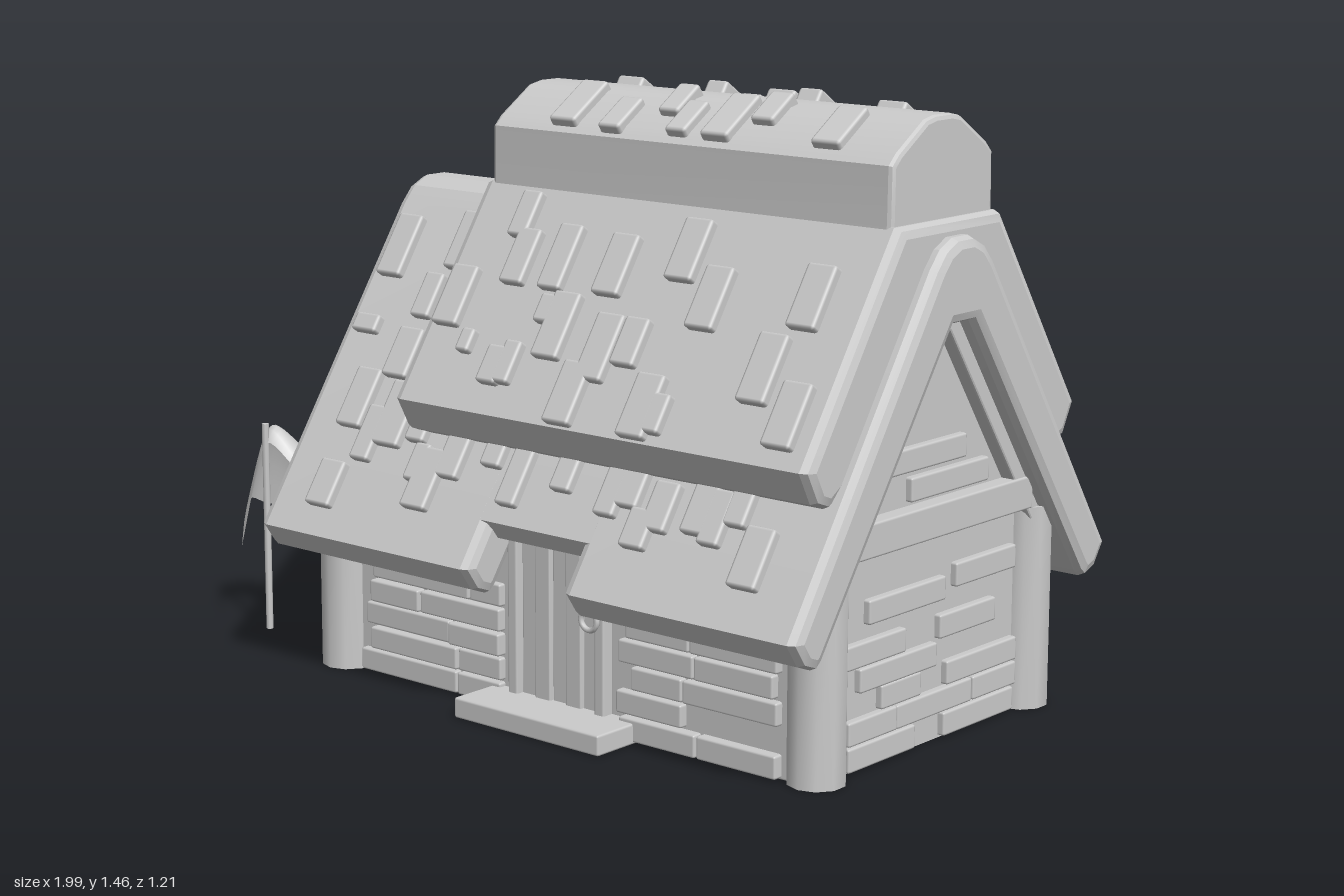
import * as THREE from 'three';
import { toCreasedNormals } from 'three/addons/utils/BufferGeometryUtils.js';
import { RoundedBoxGeometry } from 'three/addons/geometries/RoundedBoxGeometry.js';

const mat = new THREE.MeshStandardMaterial({ color: 0xcccccc });
const clothMat = new THREE.MeshStandardMaterial({ color: 0xcccccc, side: THREE.DoubleSide });

function add(parent, name, geo, x = 0, y = 0, z = 0, material = mat) {
  const m = new THREE.Mesh(geo, material);
  m.name = name;
  m.position.set(x, y, z);
  parent.add(m);
  return m;
}

// Box given by its limits on each axis
function box(parent, name, [x0, x1], [y0, y1], [z0, z1], r = 0.006) {
  const geo = new RoundedBoxGeometry(x1 - x0, y1 - y0, z1 - z0, 1, r);
  return add(parent, name, geo, (x0 + x1) / 2, (y0 + y1) / 2, (z0 + z1) / 2);
}

// Extrude a z-y outline along x with softened edges
function slab(parent, name, pts, x0, x1, bevel = 0.025) {
  const shape = new THREE.Shape(pts.map(([z, y]) => new THREE.Vector2(-z, y)));
  const geo = new THREE.ExtrudeGeometry(shape, {
    depth: x1 - x0 - 2 * bevel, bevelEnabled: bevel > 0, bevelThickness: bevel,
    bevelSize: bevel, bevelOffset: -bevel, bevelSegments: 2,
  });
  geo.translate(0, 0, bevel).rotateY(Math.PI / 2).translate(x0, 0, 0);
  return add(parent, name, toCreasedNormals(geo, 0.38));
}

// Mirror a half outline (front side, bottom to top) into a full outer line
const mirrored = half => [...half, ...half.map(([z, y]) => [-z, y]).reverse()];
const chevron = (outer, inner) => [...mirrored(outer), ...mirrored(inner).reverse()];

let seed = 7;
const rnd = () => (seed = (seed * 16807) % 2147483647) / 2147483647;

// Irregular courses of bricks on a front or back wall
function brickRows(parent, x0, x1, z, rows, height) {
  for (let r = 0; r < rows; r++) {
    let x = x0 + rnd() * 0.05;
    while (x < x1 - 0.06) {
      const w = Math.min(0.14 + rnd() * 0.2, x1 - x);
      if (rnd() > 0.28) {
        const d = 0.016 + rnd() * 0.01;
        box(parent, 'brick', [x, x + w], [r * height + 0.005, (r + 1) * height], [z - d, z + d]);
      }
      x += w + 0.004;
    }
  }
}

export function createModel() {
  const house = new THREE.Group();
  house.name = 'cottage';
  const group = name => {
    const g = new THREE.Group();
    g.name = name;
    house.add(g);
    return g;
  };

  // Lower roof, with the front eave cut short above the door
  const roof = group('roof');
  const outer = [[0.52, 0.298], [0.565, 0.315], [0.603, 0.37], [0.11, 1.11], [0.075, 1.15], [0.03, 1.172]];
  const inner = [[0.5, 0.315], [0.04, 0.98]];
  const full = chevron(outer, inner);
  const cut = [[0.41, 0.43], [0.5, 0.43], [0.533, 0.475], ...full.slice(3, -1), [0.4, 0.46]];
  slab(roof, 'lowerRoofLeft', full, -0.665, 0.04);
  slab(roof, 'lowerRoofRight', full, 0.33, 0.995);
  slab(roof, 'lowerRoofOverDoor', cut, -0.02, 0.39);

  // Upper roof layer and ridge cap
  slab(roof, 'upperRoof', chevron(
    [[0.43, 0.628], [0.475, 0.645], [0.515, 0.72], [0.19, 1.207]],
    [[0.38, 0.66], [0.08, 1.1]]), -0.285, 0.955);
  slab(roof, 'ridgeCap', mirrored([[0.2, 1.1], [0.192, 1.22], [0.19, 1.34], [0.165, 1.365], [0.065, 1.43], [0.03, 1.437]]),
    -0.26, 0.925, 0.012);

  // Small attic window at the left end of the ridge
  const attic = group('atticWindow');
  for (const s of [-1, 1]) {
    box(attic, 'windowSide', [-0.29, -0.25], [1.19, 1.33], [s * 0.12 - 0.015, s * 0.12 + 0.015]);
    box(attic, 'windowRail', [-0.29, -0.25], [1.25 + s * 0.065, 1.275 + s * 0.065], [-0.13, 0.13]);
  }
  box(attic, 'windowSill', [-0.31, -0.25], [1.18, 1.195], [-0.13, 0.13]);

  // Shingles as [x, y, width, height], repeated on both slopes
  const shingles = group('shingles');
  const lower = [
    [-0.58, 1.01, 0.08, 0.14], [-0.37, 1.04, 0.08, 0.13], [-0.58, 0.83, 0.08, 0.04], [-0.42, 0.91, 0.06, 0.1],
    [-0.42, 0.78, 0.08, 0.11], [-0.5, 0.67, 0.08, 0.13], [-0.36, 0.65, 0.09, 0.14], [-0.31, 0.75, 0.06, 0.1],
    [-0.27, 0.64, 0.06, 0.08], [-0.49, 0.48, 0.08, 0.1], [-0.42, 0.6, 0.06, 0.12], [-0.19, 0.53, 0.08, 0.13],
    [-0.13, 0.59, 0.07, 0.1], [-0.23, 0.56, 0.05, 0.08], [0.08, 0.57, 0.06, 0.12], [-0.01, 0.62, 0.06, 0.08],
    [0.22, 0.61, 0.06, 0.1], [0.37, 0.59, 0.06, 0.12], [0.42, 0.6, 0.07, 0.09], [0.48, 0.52, 0.07, 0.08],
    [0.52, 0.57, 0.07, 0.1], [0.63, 0.59, 0.07, 0.12], [0.68, 0.57, 0.06, 0.11], [0.73, 0.6, 0.06, 0.08],
    [0.81, 0.51, 0.08, 0.12],
  ];
  const upper = [
    [-0.21, 0.95, 0.08, 0.13], [-0.1, 1.14, 0.06, 0.1], [-0.06, 1.05, 0.07, 0.12], [0.06, 1.06, 0.07, 0.14],
    [0.08, 0.95, 0.05, 0.06], [-0.12, 0.86, 0.04, 0.05], [-0.01, 0.82, 0.06, 0.08], [0.03, 0.83, 0.05, 0.09],
    [0.13, 0.92, 0.08, 0.14], [0.23, 1.06, 0.08, 0.13], [0.24, 0.79, 0.08, 0.13], [0.28, 0.89, 0.08, 0.14],
    [0.36, 0.91, 0.07, 0.1], [0.42, 1.11, 0.08, 0.13], [0.46, 0.79, 0.08, 0.13], [0.51, 0.78, 0.05, 0.08],
    [0.53, 1.02, 0.08, 0.13], [0.745, 0.9, 0.08, 0.14], [0.8, 1.05, 0.08, 0.13], [0.855, 0.82, 0.08, 0.13],
  ];
  const ridge = [
    [-0.04, 1.395, 0.08, 0.15], [0.11, 1.38, 0.065, 0.11], [0.24, 1.418, 0.06, 0.1], [0.305, 1.385, 0.06, 0.11],
    [0.42, 1.395, 0.08, 0.15], [0.515, 1.418, 0.065, 0.1], [0.73, 1.395, 0.08, 0.13],
  ];
  const slope = Math.atan(1.5);
  for (const s of [-1, 1]) {
    const tile = (name, x, y, z, w, len, angle) => {
      const m = add(shingles, name, new RoundedBoxGeometry(w, 0.046, len, 1, 0.008), x, y, s * z);
      m.rotation.x = s * angle;
    };
    for (const [x, y, w, h] of lower) tile('lowerShingle', x, y, 0.603 - (y - 0.37) / 1.5, w, h * 1.2, slope);
    for (const [x, y, w, h] of upper) tile('upperShingle', x, y, 0.515 - (y - 0.72) / 1.5, w, h * 1.2, slope);
    for (const [x, y, w, len] of ridge) tile('ridgeShingle', x, y, 0.115 + (1.395 - y) * 1.5, w, len, 0.58);
  }

  // Thin walls, open underneath
  const walls = group('walls');
  box(walls, 'frontWallLeft', [-0.54, 0.04], [0, 0.46], [0.41, 0.435]);
  box(walls, 'frontWallRight', [0.33, 0.9], [0, 0.46], [0.41, 0.435]);
  box(walls, 'backWall', [-0.54, 0.9], [0, 0.46], [-0.445, -0.42]);
  slab(walls, 'rightWall', mirrored([[0.41, 0], [0.41, 0.45], [0.02, 0.99]]), 0.885, 0.91, 0);
  slab(walls, 'leftGable', mirrored([[0.38, 0.5], [0.02, 0.99]]), -0.58, -0.555, 0);
  box(walls, 'leftPanel', [-0.54, -0.52], [0, 0.52], [-0.4, 0.4]);

  // Bricks
  brickRows(walls, -0.47, 0.0, 0.435, 5, 0.06);
  brickRows(walls, 0.36, 0.83, 0.435, 5, 0.06);
  brickRows(walls, -0.46, 0.82, -0.445, 5, 0.06);
  const sideBricks = [
    [-0.04, 0.25, 0.33], [-0.32, -0.08, 0.35], [0.11, 0.33, 0.24], [-0.24, -0.02, 0.24], [-0.01, 0.28, 0.18],
    [-0.33, -0.05, 0.125], [0.14, 0.32, 0.065], [-0.15, 0.14, 0.065], [-0.33, -0.155, 0.065], [-0.32, -0.04, 0.005],
    [0.07, 0.32, 0.005], [0.05, 0.2, 0.125], [-0.11, 0.18, 0.65], [-0.2, 0.1, 0.58],
  ];
  for (const [z0, z1, y] of sideBricks) box(walls, 'sideBrick', [0.895, 0.928], [y, y + 0.057], [z0, z1]);

  // Timber frame: corner posts, tie beams and gable trim
  const frame = group('timberFrame');
  for (const s of [-1, 1]) {
    for (const [x, z] of [[0.895, 0.395], [-0.545, 0.42]]) {
      const post = new THREE.CylinderGeometry(0.068, 0.068, 0.49, 10);
      add(frame, 'cornerPost', toCreasedNormals(post, 0.8), x, 0.245, s * z);
    }
    const x = s > 0 ? 0.92 : -0.585;
    box(frame, 'tieBeam', [x - 0.03, x + 0.03], [0.49, 0.57], [-0.35, 0.35]);
    slab(frame, 'gableTrim', chevron([[0.43, 0.42], [0.03, 1.0]], [[0.38, 0.42], [0.01, 0.955]]), x - 0.02, x + 0.025, 0.005);
  }
  for (let i = -3; i <= 3; i++) {
    box(frame, 'gablePlank', [-0.6, -0.57], [0.55, 0.92 - Math.abs(i) * 0.1], [i * 0.07 - 0.03, i * 0.07 + 0.03]);
  }

  // Stall opening on the left side
  const stall = group('stall');
  box(stall, 'stallSill', [-0.66, -0.52], [0.03, 0.06], [-0.35, 0.35]);
  box(stall, 'stallCounter', [-0.6, -0.5], [0.2, 0.23], [-0.36, 0.36]);
  for (const s of [-1, 1]) box(stall, 'stallJamb', [-0.6, -0.53], [0, 0.5], [s * 0.345 - 0.02, s * 0.345 + 0.02]);

  // Door, frame, ring and step
  const door = group('door');
  for (let i = 0; i < 5; i++) {
    const x = 0.065 + i * 0.048;
    box(door, 'doorPlank', [x, x + 0.047], [0.03, 0.46], [0.4, 0.445 + (i % 2) * 0.01], 0.004);
  }
  for (const x of [0.035, 0.305]) box(door, 'doorJamb', [x, x + 0.03], [0, 0.46], [0.4, 0.465]);
  add(door, 'doorRing', new THREE.TorusGeometry(0.024, 0.007, 8, 20), 0.3, 0.275, 0.475);
  add(door, 'ringMount', new THREE.SphereGeometry(0.013, 10, 8), 0.3, 0.302, 0.47);
  box(door, 'doorStep', [-0.03, 0.42], [0, 0.05], [0.4, 0.58]);

  // Awning cloth stretched over two poles and sagging between them
  const awning = group('awning');
  const poles = [[-0.92, 0.345, 0.6], [-0.92, -0.265, 0.54]];
  for (const [x, z, h] of poles) {
    add(awning, 'awningPole', new THREE.CylinderGeometry(0.009, 0.009, h - 0.06, 8), x, (h - 0.06) / 2, z);
  }
  const cloth = new THREE.PlaneGeometry(1, 1, 32, 48);
  const p = cloth.attributes.position;
  for (let i = 0; i < p.count; i++) {
    const u = p.getX(i) + 0.5, v = p.getY(i) + 0.5;
    const flare = 0.06 * u ** 6;
    const z = THREE.MathUtils.lerp(-0.31 - flare * 0.3, 0.33 + flare, v);
    const lobe = Math.exp(-(((z - 0.28) / 0.14) ** 2)) + 0.35 * Math.exp(-(((z + 0.24) / 0.08) ** 2));
    const x = -0.6 - u * (0.335 + 0.065 * lobe);
    let y = 0.41 - 0.03 * Math.sin(Math.PI * u);
    for (const [px, pz, h] of poles) {
      y += (h - 0.39) * Math.exp(-((Math.hypot(x - px, z - pz) / 0.11) ** 1.4));
    }
    const hem = Math.max(0, (u - 0.8) / 0.2), edge = Math.abs(2 * v - 1) ** 10;
    y -= hem * hem * (0.05 + 0.13 * lobe) + 0.2 * edge * u ** 3;
    p.setXYZ(i, x, y, z);
  }
  cloth.computeVertexNormals();
  add(awning, 'awningCloth', cloth, 0, 0, 0, clothMat);

  return house;
}
